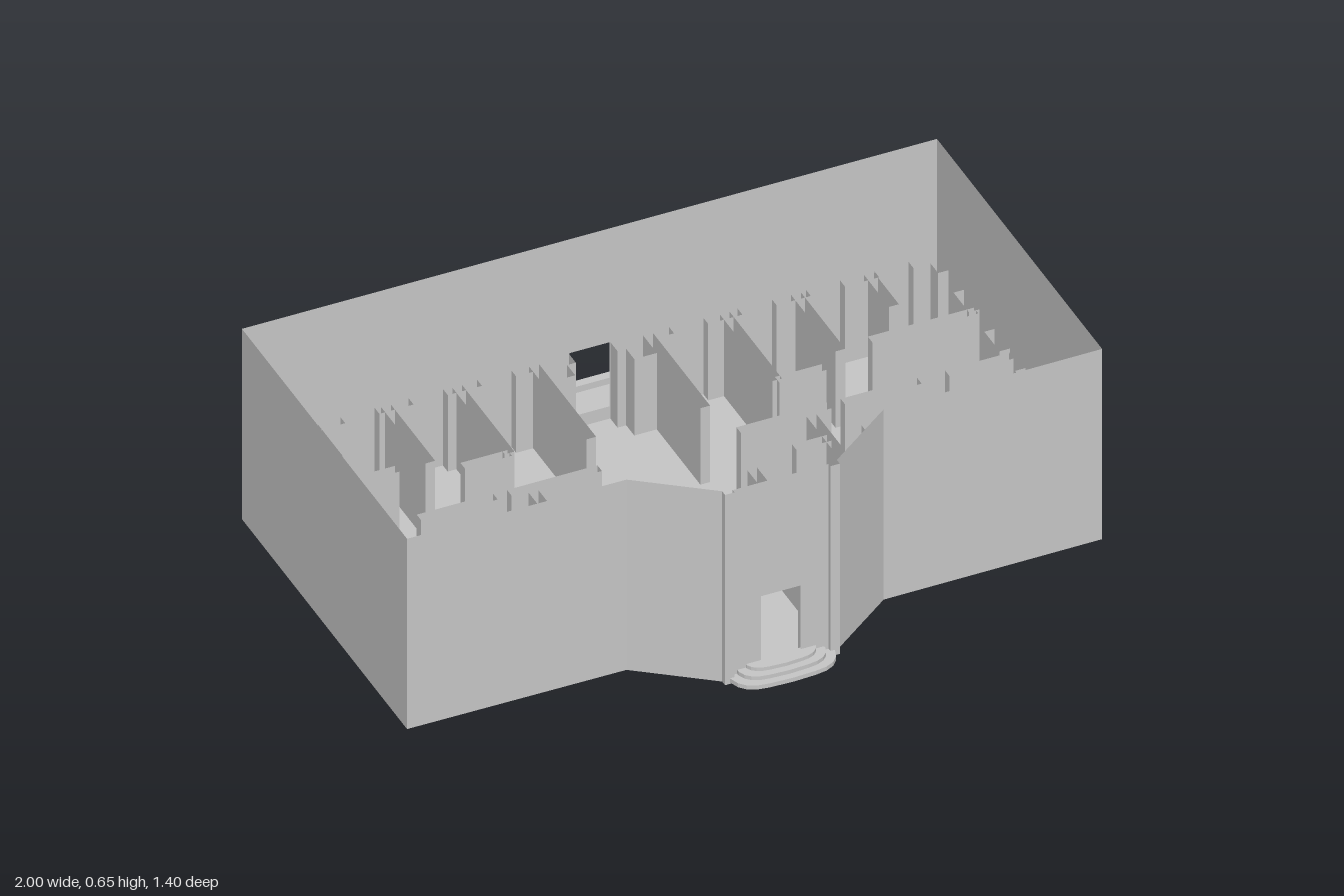
import * as THREE from 'three';

const FLOOR = 0.04, TOP = 0.655, ROOM_TOP = 0.287;

export function createModel() {
  const model = new THREE.Group();
  const grey = new THREE.MeshStandardMaterial({ color: 0xc6c6c6, side: THREE.DoubleSide });
  grey.name = 'plain grey';

  const add = (name, geometry, parent = model) => {
    const mesh = new THREE.Mesh(geometry, grey);
    mesh.name = name;
    parent.add(mesh);
    return mesh;
  };
  const group = (name) => {
    const g = new THREE.Group();
    g.name = name;
    model.add(g);
    return g;
  };
  // Box given by its limits
  const block = (name, x0, x1, y0, y1, z0, z1, parent) => {
    const mesh = add(name, new THREE.BoxGeometry(x1 - x0, y1 - y0, z1 - z0), parent);
    mesh.position.set((x0 + x1) / 2, (y0 + y1) / 2, (z0 + z1) / 2);
  };
  // Upright sheet between two plan points, optionally with a central doorway
  const sheet = (name, [x0, z0], [x1, z1], top, parent, door) => {
    const w = Math.hypot(x1 - x0, z1 - z0);
    const s = new THREE.Shape();
    s.moveTo(-w / 2, FLOOR).lineTo(w / 2, FLOOR).lineTo(w / 2, top).lineTo(-w / 2, top);
    if (door) {
      const h = new THREE.Path();
      h.moveTo(-0.057, FLOOR + 0.001).lineTo(-0.057, ROOM_TOP).lineTo(0.057, ROOM_TOP).lineTo(0.057, FLOOR + 0.001);
      s.holes.push(h);
    }
    const mesh = add(name, new THREE.ShapeGeometry(s), parent);
    mesh.position.set((x0 + x1) / 2, 0, (z0 + z1) / 2);
    mesh.rotation.y = -Math.atan2(z1 - z0, x1 - x0);
  };

  // Outer shell follows the plan outline, with the projecting front bay
  const half = [[0.138, 0.622], [0.138, 0.633], [0.165, 0.633], [0.165, 0.615], [0.37, 0.463], [1, 0.46], [1, -0.565]];
  const outline = [...half.map(([x, z]) => [-x, z]).reverse(), ...half];
  const shell = group('outerWalls');
  outline.forEach((p, i) => {
    const q = outline[(i + 1) % outline.length];
    sheet('outerWall', p, q, TOP, shell, i === half.length - 1 || i === outline.length - 1);
  });
  const floorShape = new THREE.Shape(outline.map(([x, z]) => new THREE.Vector2(x, z)));
  const floor = add('floor', new THREE.ShapeGeometry(floorShape));
  floor.rotation.x = Math.PI / 2;
  floor.position.y = FLOOR;

  // Low room walls are open-topped sheets, mirrored about the central hall
  const rooms = group('roomWalls');
  const ribbon = (name, points) => {
    for (const s of [-1, 1]) {
      for (let i = 1; i < points.length; i++) {
        const [a, b] = [points[i - 1], points[i]];
        sheet(name, [s * a[0], a[1]], [s * b[0], b[1]], ROOM_TOP, rooms);
      }
    }
  };
  // Hollow partition: both faces and both ends, without a cap
  const partition = (x0, z0, x1, z1) => {
    const len = Math.hypot(x1 - x0, z1 - z0);
    const nx = -(z1 - z0) / len * 0.014, nz = (x1 - x0) / len * 0.014;
    const corner = [x0 + nx, z0 + nz];
    ribbon('partition', [corner, [x1 + nx, z1 + nz], [x1 - nx, z1 - nz], [x0 - nx, z0 - nz], corner]);
  };
  [
    // back rooms
    [0.164, -0.555, 0.164, -0.2], [0.385, -0.555, 0.385, -0.23], [0.59, -0.555, 0.59, -0.28],
    [0.68, -0.29, 0.985, -0.29], [0.8, -0.555, 0.8, -0.4],
    // corridor
    [0.5, -0.07, 0.72, -0.07], [0.2, -0.07, 0.46, -0.07], [0.385, -0.23, 0.52, -0.23],
    [0.8, -0.07, 0.985, -0.07], [0.3, 0.06, 0.4, 0.06], [0.5, 0.06, 0.85, 0.06],
    // front rooms
    [0.16, 0.1, 0.16, 0.42], [0.4, -0.05, 0.4, 0.38], [0.62, 0.08, 0.62, 0.45], [0.82, 0.12, 0.82, 0.45],
    [0.18, 0.3, 0.3, 0.3],
  ].forEach((p) => partition(...p));

  // Inner lining with window recesses reaching out to the shell
  const lining = (from, to, place) => {
    const n = Math.round((to - from) / 0.2), step = (to - from) / n, points = [];
    for (let i = 0; i < n; i++) {
      const a = from + i * step;
      points.push(place(a, 0.035), place(a + step * 0.25, 0.035), place(a + step * 0.25, 0.005),
        place(a + step * 0.75, 0.005), place(a + step * 0.75, 0.035), place(a + step, 0.035));
    }
    ribbon('windowLining', points);
  };
  lining(0.178, 0.965, (x, d) => [x, -0.565 + d]);
  lining(0.4, 0.965, (x, d) => [x, 0.46 - d]);
  lining(-0.53, 0.425, (z, d) => [1 - d, z]);

  // Bay lining and the stepped jambs at both doorways
  ribbon('bayLining', [[0.4, 0.425], [0.35, 0.445], [0.17, 0.58], [0.13, 0.58], [0.13, 0.6], [0.06, 0.6], [0.06, 0.621]]);
  ribbon('backDoorJamb', [[0.06, -0.564], [0.06, -0.52], [0.085, -0.52], [0.085, -0.47], [0.15, -0.47]]);

  // Curved front steps
  const frontSteps = group('frontSteps');
  [[0.15, 0.7, 0.045, 0.058], [0.125, 0.68, 0.058, 0.07], [0.1, 0.66, 0.07, 0.081]].forEach(([w, z, y0, y1]) => {
    const s = new THREE.Shape();
    const back = 0.615, r = (z - back) * 0.75;
    s.moveTo(-w, back).lineTo(-w, z - r).quadraticCurveTo(-w + 0.01, z - 0.006, -w + r + 0.02, z - 0.003)
      .lineTo(0, z).lineTo(w - r - 0.02, z - 0.003).quadraticCurveTo(w - 0.01, z - 0.006, w, z - r).lineTo(w, back);
    const g = new THREE.ExtrudeGeometry(s, { depth: y1 - y0, bevelEnabled: false, curveSegments: 4 });
    g.rotateX(Math.PI / 2);
    add('frontStep', g, frontSteps).position.y = y1;
  });

  // Back landing with a parapet and stepped wings to both sides
  const backSteps = group('backSteps');
  block('landing', -0.11, 0.11, 0.002, 0.08, -0.655, -0.565, backSteps);
  block('parapet', -0.15, 0.15, 0.002, 0.1, -0.68, -0.655, backSteps);
  for (const s of [-1, 1]) {
    [[0.133, 0.33, 0, 0.012, -0.703], [0.14, 0.307, 0.012, 0.026, -0.68], [0.14, 0.282, 0.026, 0.04, -0.655],
      [0.11, 0.155, 0.002, 0.053, -0.655], [0.11, 0.135, 0.053, 0.067, -0.655]].forEach(([a, b, y0, y1, z]) => {
      block('wingStep', Math.min(s * a, s * b), Math.max(s * a, s * b), y0, y1, z, -0.565, backSteps);
    });
  }
  return model;
}
